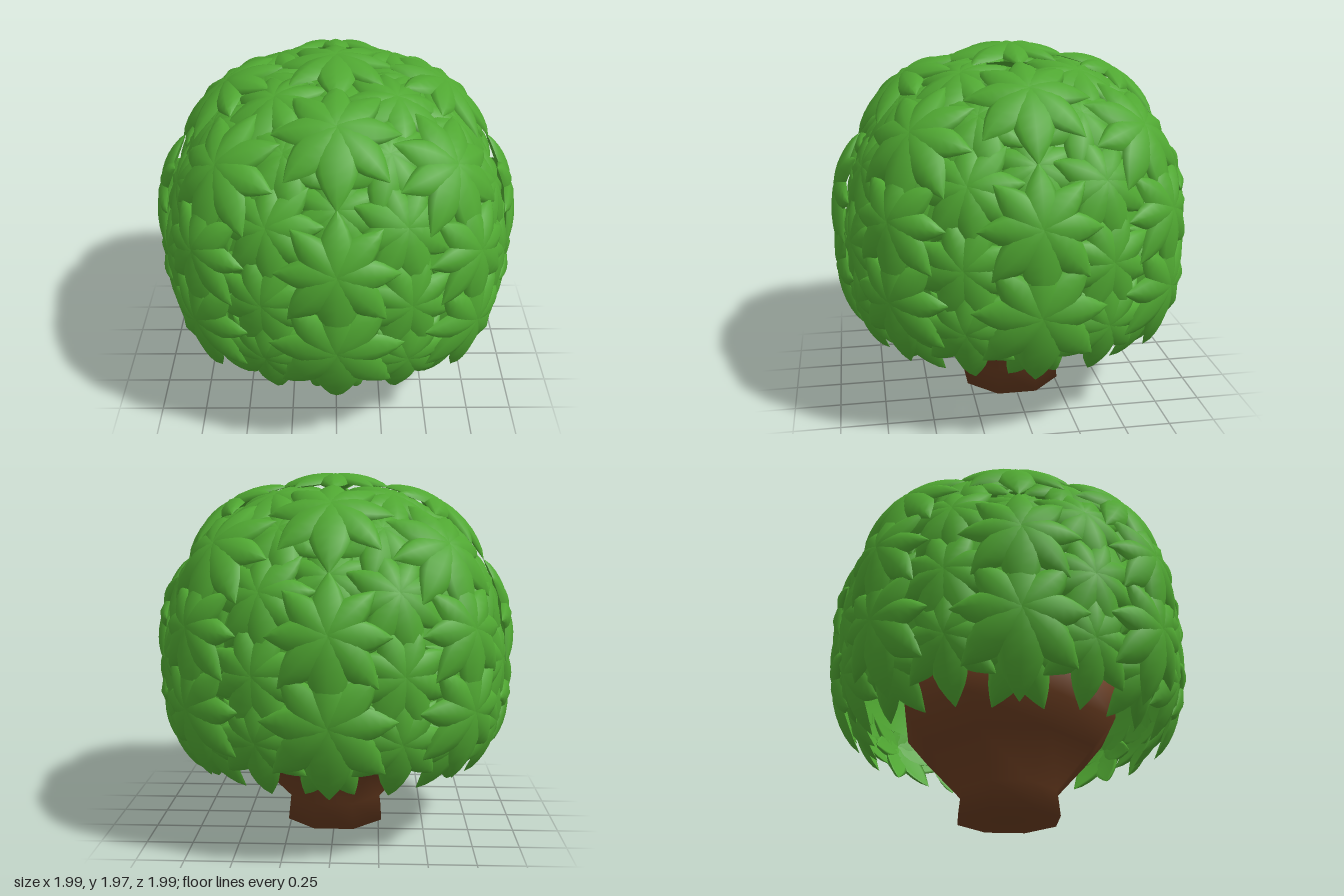
import * as THREE from 'three';
import { mergeGeometries } from 'three/addons/utils/BufferGeometryUtils.js';

const leafGreen = new THREE.MeshStandardMaterial({ color: 0x50a832 });
leafGreen.name = 'leafGreen';
leafGreen.side = THREE.DoubleSide;
const barkBrown = new THREE.MeshStandardMaterial({ color: 0x693c20 });
barkBrown.name = 'barkBrown';

// The crown is a rounded-square dome (superellipsoid)
const N = 2.3, RX = 0.95, RY = 0.98, CY = 0.935;
const norm = (...a) => a.reduce((s, v) => s + Math.abs(v) ** N, 0) ** (1 / N);

// Push a point (relative to the crown centre) onto the dome, raised by lift
function onCrown(p, lift, scale) {
  const k = scale / norm(p.x / RX, p.y / RY, p.z / RX);
  const len = p.length() * k;
  return p.multiplyScalar(k * (1 + lift / len));
}

// Point on the dome at an azimuth (0 = front) and height
function crownPoint(az, y) {
  const h = (y - CY) / RY;
  const r = Math.max(0, 1 - Math.abs(h) ** N) ** (1 / N) * RX;
  const s = Math.sin(az), c = Math.cos(az), n = norm(s, c);
  return new THREE.Vector3((r * s) / n, y - CY, (r * c) / n);
}

// One slim pointed petal, wrapped over the dome
function petal(centre, right, up, angle, length, scale) {
  const g = new THREE.CylinderGeometry(1, 1, 1, 8, 7, true);
  const pos = g.attributes.position;
  const ca = Math.cos(angle), sa = Math.sin(angle);
  const p = new THREE.Vector3();
  for (let i = 0; i < pos.count; i++) {
    const t = pos.getY(i) + 0.5;
    const body = Math.max(0, Math.sin(Math.PI * t));
    const half = length * 0.215 * body + 0.045 * (1 - t) ** 2 + 0.002;
    const thick = 0.017 * Math.sqrt(body) + 0.008 * (1 - t);
    const along = length * t - 0.02 * (1 - t);
    const across = pos.getZ(i) * half;
    // The edges curl down so each petal is domed across its width
    const curl = 0.022 * body * pos.getZ(i) ** 2;
    const lift = 0.034 * (1 - t * t) + pos.getX(i) * thick - curl;
    p.copy(centre)
      .addScaledVector(right, ca * along - sa * across)
      .addScaledVector(up, sa * along + ca * across);
    onCrown(p, lift, scale);
    pos.setXYZ(i, p.x, p.y + CY, p.z);
  }
  g.computeVertexNormals();
  return g;
}

// Eight petals around a centre, the hanging ones longer
function leafCluster(az, y, size, scale, turn) {
  const centre = crownPoint(az, y);
  const out = centre.clone().normalize();
  const right = new THREE.Vector3(Math.cos(az), 0, -Math.sin(az));
  const up = new THREE.Vector3().crossVectors(out, right).normalize();
  const petals = [];
  for (let i = 0; i < 8; i++) {
    const a = (i * Math.PI) / 4 + turn;
    const length = size * (1 + 0.3 * Math.max(0, -Math.sin(a)) ** 2);
    petals.push(petal(centre, right, up, a, length, scale));
  }
  const mesh = new THREE.Mesh(mergeGeometries(petals), leafGreen);
  mesh.name = 'leafCluster';
  return mesh;
}

export function createModel() {
  const model = new THREE.Group();
  model.name = 'bushyTree';

  // Trunk flaring up into the crown
  const profile = [[0, 0], [0.288, 0], [0.272, 0.14], [0.48, 0.36], [0.6, 0.5], [0.63, 0.7], [0.45, 0.85], [0, 0.9]]
    .map(([r, y]) => new THREE.Vector2(r, y));
  const trunk = new THREE.Mesh(new THREE.LatheGeometry(profile, 8, Math.PI / 8), barkBrown);
  trunk.name = 'trunk';
  model.add(trunk);

  // Leafy lining that closes the gaps between clusters
  const shell = new THREE.SphereGeometry(1, 32, 20, 0, Math.PI * 2, 0, Math.PI * 0.6);
  const sp = shell.attributes.position, v = new THREE.Vector3();
  for (let i = 0; i < sp.count; i++) {
    onCrown(v.fromBufferAttribute(sp, i), 0, 0.86);
    sp.setXYZ(i, v.x, v.y + CY, v.z);
  }
  shell.computeVertexNormals();
  const lining = new THREE.Mesh(shell, leafGreen);
  lining.name = 'crownLining';
  model.add(lining);

  // Rings of clusters: [count, first azimuth in eighths, height, size, layer scale, turn]
  const rings = [
    // Outer layer
    [1, 0, CY + RY, 0.31, 1, 0],
    [4, 0, 1.78, 0.33, 1, 0],
    [4, 1, 1.59, 0.34, 1, 0],
    [4, 0, 1.2, 0.32, 1, 0],
    [4, 1, 1.2, 0.3, 1, 0],
    [4, 0, 0.77, 0.36, 0.99, 0],
    [4, 1, 0.8, 0.32, 0.99, 0],
    // Middle layer
    [4, 1, 1.85, 0.3, 0.96, 0.2],
    [8, 0.5, 1.7, 0.29, 0.95, 0.39],
    [8, 0.5, 1.4, 0.3, 0.95, 0.2],
    [8, 0.5, 1.0, 0.3, 0.95, 0.39],
    [8, 0.5, 0.66, 0.29, 0.95, 0],
    // Inner layer
    [4, 0, 1.86, 0.3, 0.93, 0.39],
    [8, 0, 1.5, 0.28, 0.91, 0.39],
    [8, 0, 1.0, 0.28, 0.91, 0.2],
    [8, 0, 0.6, 0.29, 0.92, 0.39],
  ];
  const crown = new THREE.Group();
  crown.name = 'crown';
  for (const [count, first, y, size, scale, turn] of rings) {
    for (let i = 0; i < count; i++) {
      const az = (first * Math.PI) / 4 + (i * 2 * Math.PI) / count;
      crown.add(leafCluster(az, y, size, scale, turn));
    }
  }
  model.add(crown);
  return model;
}
